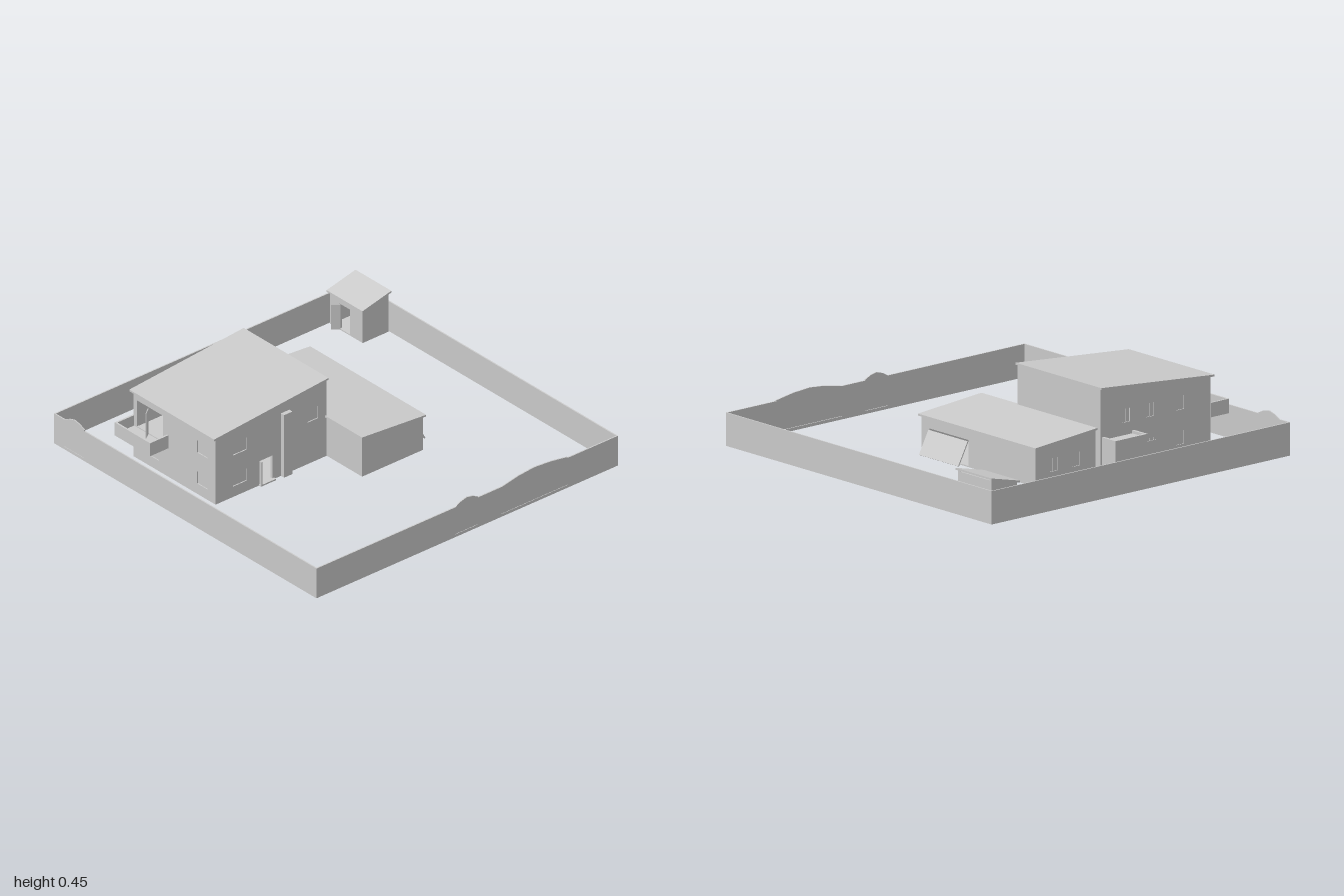
import * as THREE from 'three';

const mat = new THREE.MeshStandardMaterial({ color: 0xcccccc, flatShading: true, side: THREE.DoubleSide });
const T = 0.015; // house wall thickness

function add(parent, geo, name) {
  const m = new THREE.Mesh(geo, mat);
  m.name = name;
  parent.add(m);
  return m;
}

// Box from min/max corners
function box(parent, name, x0, x1, y0, y1, z0, z1) {
  const m = add(parent, new THREE.BoxGeometry(x1 - x0, y1 - y0, z1 - z0), name);
  m.position.set((x0 + x1) / 2, (y0 + y1) / 2, (z0 + z1) / 2);
  return m;
}

// Upright panel: outline points (u, y), openings [u0, u1, y0, y1].
// axis 'x': u runs along x, panel fills z = at .. at + t
// axis 'z': u runs along z, panel fills x = at - t .. at
function panel(parent, name, axis, at, pts, openings = [], t = T) {
  const s = new THREE.Shape(pts.map(p => new THREE.Vector2(p[0], p[1])));
  for (const [a, b, c, d] of openings) {
    s.holes.push(new THREE.Path([[a, c], [a, d], [b, d], [b, c]].map(p => new THREE.Vector2(p[0], p[1]))));
  }
  const m = add(parent, new THREE.ExtrudeGeometry(s, { depth: t, bevelEnabled: false }), name);
  if (axis === 'x') m.position.z = at;
  else { m.rotation.y = -Math.PI / 2; m.position.x = at; }
  return m;
}

const quad = (a, b, ya, yb, y0 = 0) => [[a, y0], [b, y0], [b, yb], [a, ya]];

// Wall with glazed windows set into its thickness
function wall(parent, name, axis, at, pts, windows = [], doors = []) {
  panel(parent, name, axis, at, pts, [...windows, ...doors]);
  for (const [a, b, c, d] of windows) {
    const mid = (a + b) / 2, off = axis === 'x' ? 0.005 : -0.005;
    panel(parent, 'windowPane', axis, at + off, quad(a, b, d, d, c), [], 0.004);
    panel(parent, 'windowMullion', axis, at + off * 0.6, quad(mid - 0.002, mid + 0.002, d, d, c), [], 0.008);
  }
}

// Single-pitch roof slab rising or falling along x
function roof(parent, name, x0, x1, y0, y1, z0, z1, t = 0.01) {
  panel(parent, name, 'x', z0, [[x0, y0 - t], [x1, y1 - t], [x1, y1], [x0, y0]], [], z1 - z0);
}

function mainHouse() {
  const g = new THREE.Group();
  g.name = 'mainHouse';
  const x0 = -0.775, x1 = -0.045, z0 = -0.645, z1 = -0.02, yl = 0.376, yr = 0.44;
  box(g, 'groundFloor', x0, x1, 0, 0.006, z0, z1);
  box(g, 'upperFloor', x0 + T, x1 - T, 0.165, 0.175, z0 + T, z1 - T);
  const rows = (us, w) => us.flatMap(u => [[u, u + w, 0.06, 0.13], [u, u + w, 0.24, 0.31]]);
  wall(g, 'frontWall', 'x', z1 - T, quad(x0, x1, yl, yr),
    [...rows([-0.66], 0.09), [-0.17, -0.1, 0.24, 0.31]], [[-0.48, -0.4, 0.006, 0.14]]);
  wall(g, 'backWall', 'x', z0, quad(x0, x1, yl, yr),
    [...rows([-0.6, -0.4], 0.05), [-0.24, -0.19, 0.24, 0.31]]);
  wall(g, 'leftSideWall', 'z', x0 + T, quad(z0 + T, z1 - T, yl, yl),
    rows([-0.16], 0.08).concat([[-0.56, -0.45, 0.06, 0.13]]), [[-0.62, -0.42, 0.185, 0.335]]);
  wall(g, 'rightSideWall', 'z', x1, quad(z0 + T, z1 - T, yr - 0.002, yr - 0.002));
  roof(g, 'mainRoof', -0.79, -0.037, 0.385, 0.45, -0.66, -0.014);

  // Tall stair window frame beside the entrance
  box(g, 'stairColumn', -0.345, -0.29, 0, 0.362, z1, 0.004);
  // Entrance door standing open, with its step
  box(g, 'frontDoor', -0.486, -0.48, 0.006, 0.14, z1, -0.003);
  box(g, 'entranceStep', -0.49, -0.39, 0, 0.008, z1, -0.004);
  return g;
}

function balcony() {
  const g = new THREE.Group();
  g.name = 'balcony';
  const x0 = -0.895, x1 = -0.775, z0 = -0.65, z1 = -0.38, t = 0.01;
  box(g, 'balconyFloor', x0, x1, 0.165, 0.18, z0, z1);
  box(g, 'outerParapet', x0, x0 + t, 0.18, 0.24, z0, z1);
  for (const z of [z0, z1 - t]) box(g, 'endParapet', x0 + t, x1, 0.18, 0.24, z, z + t);
  const door = box(g, 'balconyDoor', -0.025, 0.025, 0.185, 0.33, -0.002, 0.002);
  door.position.x = -0.798;
  door.position.z = -0.515;
  door.rotation.y = Math.PI / 5;
  return g;
}

function backPorch() {
  const g = new THREE.Group();
  g.name = 'backPorch';
  const x0 = -0.27, x1 = -0.055, z0 = -0.745, z1 = -0.645, h = 0.19;
  box(g, 'porchFloor', x0, x1, 0, 0.006, z0, z1);
  box(g, 'porchRoof', x0 + T, x1 - T, 0.165, 0.175, z0 + T, z1);
  wall(g, 'porchBackWall', 'x', z0, quad(x0, x1, h, h));
  wall(g, 'porchLeftWall', 'z', x1, quad(z0 + T, z1, h, h));
  wall(g, 'porchDoorWall', 'z', x0 + T, quad(z0 + T, z1, h, h), [], [[z0 + 0.025, z1 - 0.015, 0.006, 0.15]]);
  const door = box(g, 'porchDoor', -0.335, x0, 0.006, 0.15, -0.742, -0.738);
  door.rotation.y = 0.08;
  return g;
}

function garageWing() {
  const g = new THREE.Group();
  g.name = 'garageWing';
  const x0 = -0.044, x1 = 0.355, z0 = -0.61, z1 = 0.25, yl = 0.226, yr = 0.194;
  box(g, 'wingFloor', x0, x1, 0, 0.006, z0, z1);
  wall(g, 'wingFrontWall', 'x', z1 - T, quad(x0, x1, yl, yr));
  wall(g, 'wingBackWall', 'x', z0, quad(x0, x1, yl, yr), [[0.06, 0.11, 0.06, 0.13], [0.21, 0.26, 0.06, 0.13]]);
  wall(g, 'wingInnerWall', 'z', x0 + T, quad(z0 + T, z1 - T, yl - 0.002, yl - 0.002));
  wall(g, 'wingOuterWall', 'z', x1, quad(z0 + T, z1 - T, yr, yr), [], [[-0.105, 0.19, 0.006, 0.14]]);
  roof(g, 'wingRoof', -0.055, 0.367, 0.236, 0.204, -0.622, 0.262);
  // Up-and-over door, tilted outward
  const door = box(g, 'garageDoor', -0.003, 0.003, -0.067, 0.067, -0.105, 0.19);
  door.position.set(0.39, 0.074, 0.0425);
  door.rotation.z = 0.49;
  return g;
}

function guardHouse() {
  const g = new THREE.Group();
  g.name = 'guardHouse';
  const x0 = 0.81, x1 = 0.98, z0 = -0.985, z1 = -0.735, yl = 0.184, yr = 0.223;
  box(g, 'guardFloor', x0, x1, 0, 0.006, z0, z1);
  wall(g, 'guardFrontWall', 'x', z1 - T, quad(x0, x1, yl, yr));
  wall(g, 'guardBackWall', 'x', z0, quad(x0, x1, yl, yr));
  wall(g, 'guardOuterWall', 'z', x1, quad(z0 + T, z1 - T, yr - 0.003, yr - 0.003));
  wall(g, 'guardDoorWall', 'z', x0 + T, quad(z0 + T, z1 - T, yl, yl), [], [[-0.91, -0.83, 0.006, 0.15]]);
  roof(g, 'guardRoof', 0.8, 0.99, 0.192, 0.237, -0.998, -0.725);
  const door = box(g, 'guardDoor', -0.024, 0.024, 0.006, 0.15, -0.002, 0.002);
  door.position.x = 0.79;
  door.position.z = -0.917;
  door.rotation.y = -0.75;
  return g;
}

function perimeter() {
  const g = new THREE.Group();
  g.name = 'perimeterWall';
  const h = 0.172, t = 0.007, X = 0.992;
  // Straight stretches between the gates
  for (const [a, b] of [[-X, -0.08], [0.07, 0.225], [0.66, X]]) box(g, 'frontFence', a, b, 0, h, 1 - t, 1);
  box(g, 'backFence', -X, X, 0, h, -1, -1 + t);
  box(g, 'leftFence', X - t, X, 0, h, -1 + t, 1 - t);
  for (const [a, b] of [[-1 + t, -0.92], [-0.77, 1 - t]]) box(g, 'rightFence', -X, -X + t, 0, h, a, b);
  // Gates with raised tops
  const smallTop = (a, b) => [[a, 0.018], [b, 0.018], [b, 0.178], [b - 0.035, 0.194],
    [(a + b) / 2, 0.202], [a + 0.035, 0.191], [a, h]];
  panel(g, 'frontGate', 'x', 1 - t, smallTop(-0.08, 0.07), [], t);
  panel(g, 'drivewayGate', 'x', 1 - t, [[0.225, 0.018], [0.66, 0.018], [0.66, 0.177], [0.55, 0.195],
    [0.44, 0.203], [0.34, 0.194], [0.225, h]], [], t);
  panel(g, 'sideGate', 'z', -X + t, smallTop(-0.92, -0.77), [], t);
  // Thresholds
  box(g, 'frontThreshold', -0.08, 0.07, 0, 0.016, 1 - t, 1);
  box(g, 'drivewayThreshold', 0.225, 0.66, 0, 0.016, 1 - t, 1);
  box(g, 'sideThreshold', -X, -X + t, 0, 0.016, -0.92, -0.77);
  return g;
}

export function createModel() {
  const model = new THREE.Group();
  model.name = 'walledHouse';
  model.add(mainHouse(), balcony(), backPorch(), garageWing(), guardHouse(), perimeter());
  return model;
}
